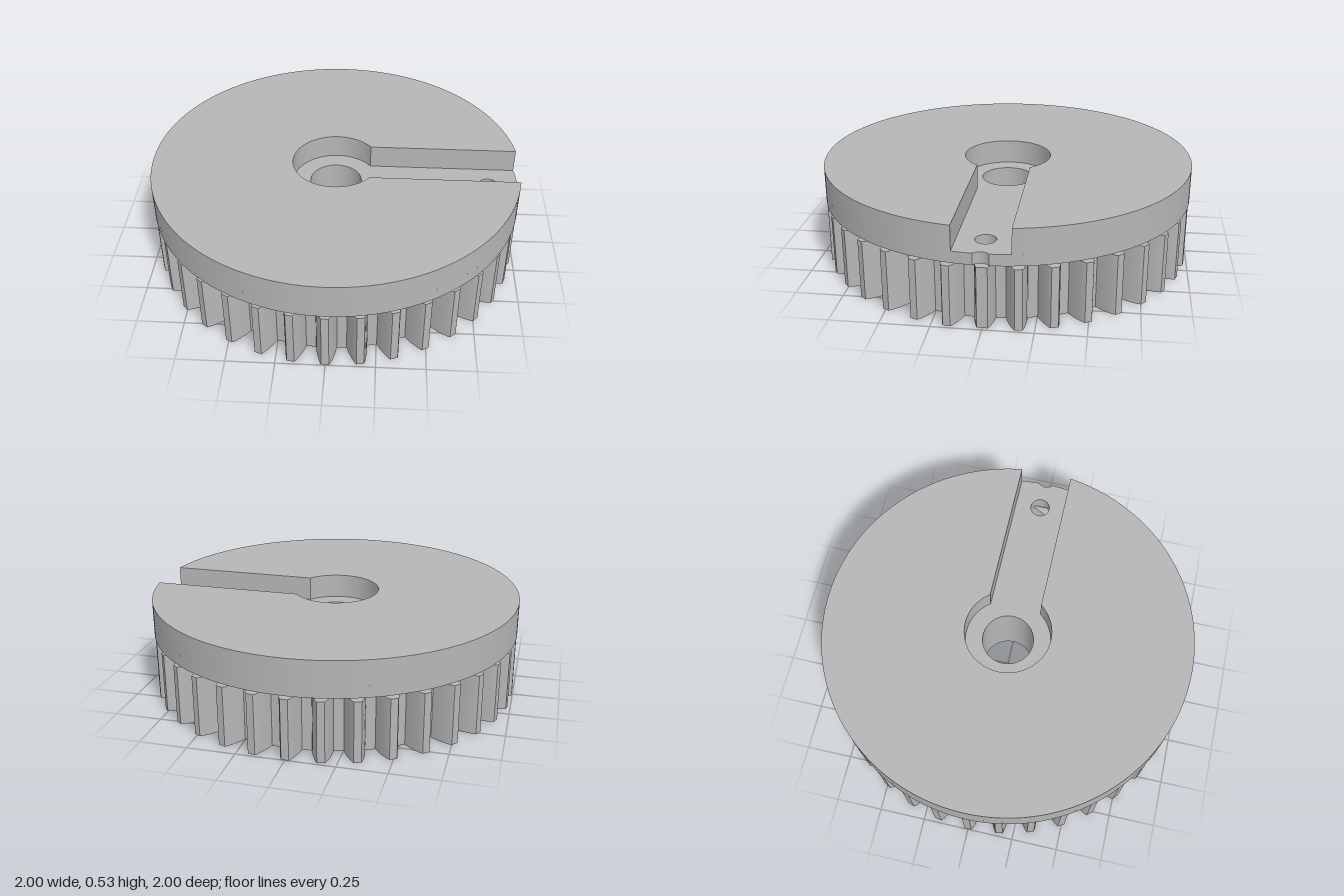
import * as THREE from 'three';
import { toCreasedNormals } from 'three/addons/utils/BufferGeometryUtils.js';

const HUB = 0.14, COUNTERBORE = 0.235, SLOT = 0.142, ROOT = 0.88, TEETH = 36;

// round hole through a layer
function hole(x, r) {
  const path = new THREE.Path();
  path.absarc(x, 0, r, 0, Math.PI * 2, true);
  return path;
}

// flat layer between two heights
function layer(name, shape, y0, y1, material) {
  const geo = new THREE.ExtrudeGeometry(shape, { depth: y1 - y0, bevelEnabled: false, curveSegments: 96 });
  geo.rotateX(-Math.PI / 2);
  geo.translate(0, y0, 0);
  const mesh = new THREE.Mesh(toCreasedNormals(geo, 0.45), material);
  mesh.name = name;
  return mesh;
}

// upper disc: keyhole slot running from the counterbore out to the rim
function slottedDisc() {
  const a = Math.asin(SLOT), b = Math.asin(SLOT / COUNTERBORE);
  const s = new THREE.Shape();
  s.absarc(0, 0, 1, a, Math.PI * 2 - a, false);
  s.absarc(0, 0, COUNTERBORE, Math.PI * 2 - b, b, true);
  s.closePath();
  return s;
}

// slot floor: full disc with a small notch in the rim
function notchedDisc() {
  const s = new THREE.Shape();
  s.absarc(0, 0, 1, 0.04, Math.PI * 2 - 0.04, false);
  s.absarc(1.03, 0, 0.05, Math.PI + 0.91, Math.PI - 0.91, true);
  s.closePath();
  return s;
}

function plainDisc(r) {
  const s = new THREE.Shape();
  s.absarc(0, 0, r, 0, Math.PI * 2, false);
  return s;
}

// spur gear outline; the tooth on +x is cut short by the rim notch
function gearOutline() {
  const flank = [[ROOT, 0.052], [0.92, 0.046], [0.96, 0.035], [0.985, 0.026], [0.997, 0.019]];
  const cut = [[ROOT, 0.052], [0.92, 0.046], [0.96, 0.035], [0.982, 0.027], [0.98, 0.008]];
  const pts = [];
  for (let i = 0; i < TEETH; i++) {
    const angle = (i / TEETH) * Math.PI * 2;
    const side = i === 0 ? cut : flank;
    const tooth = [
      ...side.map(([x, h]) => [x, -h]),
      ...side.slice().reverse(),
    ];
    for (const [x, y] of tooth) {
      pts.push(new THREE.Vector2(x, y).rotateAround(new THREE.Vector2(), angle));
    }
    // middle of the root gap
    const gap = angle + Math.PI / TEETH;
    pts.push(new THREE.Vector2(Math.cos(gap) * ROOT, Math.sin(gap) * ROOT));
  }
  return new THREE.Shape(pts);
}

export function createModel() {
  const metal = new THREE.MeshStandardMaterial({ color: 0xb6b6b6 });
  metal.name = 'grey metal';

  const model = new THREE.Group();
  model.name = 'slottedGear';

  // layers from the bottom up, the lower three pierced by hub and pin holes
  const lower = [
    ['gearTeeth', gearOutline(), 0, 0.32],
    ['spacerRing', plainDisc(ROOT), 0.32, 0.34],
    ['slotFloor', notchedDisc(), 0.34, 0.4],
  ];
  for (const [name, shape, y0, y1] of lower) {
    shape.holes.push(hole(0, HUB), hole(0.84, 0.053));
    model.add(layer(name, shape, y0, y1, metal));
  }
  model.add(layer('slottedDisc', slottedDisc(), 0.4, 0.53, metal));

  return model;
}
